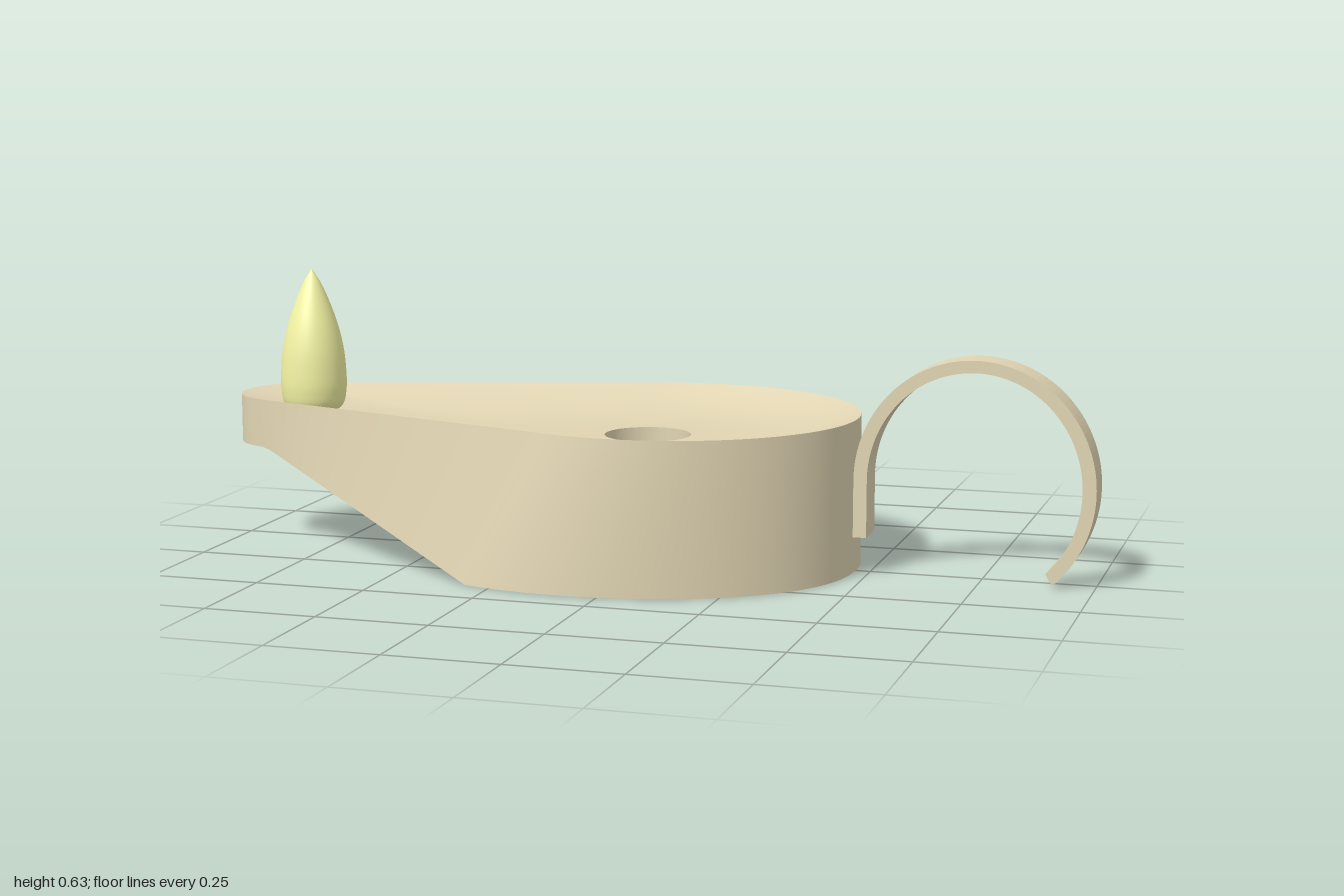
import * as THREE from 'three';

const TOP = 0.34, SPOUT_BASE = 0.23, DISH = 0.058;
const HOLE_X = -0.015, HOLE_R = 0.097, HOLE_DEPTH = 0.2;
const clay = new THREE.MeshStandardMaterial({ color: 0xe0d4b2, side: THREE.DoubleSide });
const flameMaterial = new THREE.MeshStandardMaterial({ color: 0xf4f4a4 });

function add(parent, name, geometry, material = clay) {
  const mesh = new THREE.Mesh(geometry, material);
  mesh.name = name;
  parent.add(mesh);
  return mesh;
}

// Half outline [x, z] from the spout tip to the back: round tip, straight flank, rounded bowl
function halfOutline(cx, a, b, shoulderX, fullness) {
  const points = [];
  const tipSteps = 14, flankSteps = 24, bowlSteps = 48;
  for (let i = 0; i <= tipSteps; i++) {
    const t = (i / tipSteps) * 1.26;
    points.push([-0.86 - 0.14 * Math.cos(t), 0.14 * Math.sin(t)]);
  }
  const start = Math.acos((shoulderX - cx) / a);
  const bowl = [];
  for (let i = 0; i <= bowlSteps; i++) {
    const t = start * (1 - i / bowlSteps);
    bowl.push([cx + a * Math.cos(t), b * Math.sin(t) ** fullness]);
  }
  const [x0, z0] = points[tipSteps], [x1, z1] = bowl[0];
  for (let i = 1; i < flankSteps; i++) {
    const t = i / flankSteps;
    points.push([x0 + (x1 - x0) * t, z0 + (z1 - z0) * t]);
  }
  return [...points, ...bowl];
}

// Full closed loop from a half outline
function mirrorLoop(half) {
  const other = half.slice(1, -1).reverse().map(([x, z]) => [x, -z]);
  return [...half, ...other];
}

// Underside rises from the foot to the spout
function underside(x) {
  return THREE.MathUtils.clamp(((-0.31 - x) / 0.58) * SPOUT_BASE, 0, SPOUT_BASE);
}

function makeGeometry(positions, index) {
  const geometry = new THREE.BufferGeometry();
  geometry.setAttribute('position', new THREE.Float32BufferAttribute(positions, 3));
  geometry.setIndex(index);
  return geometry;
}

// Smooth skin through closed loops of [x, y, z]
function loft(loops) {
  const index = [], n = loops[0].length;
  for (let r = 0; r < loops.length - 1; r++) {
    for (let i = 0; i < n; i++) {
      const j = (i + 1) % n;
      const a = r * n + i, b = r * n + j;
      index.push(a, a + n, b + n, a, b + n, b);
    }
  }
  const geometry = makeGeometry(loops.flat(2), index);
  geometry.computeVertexNormals();
  return geometry;
}

function undersideGeometry(half) {
  const positions = [], index = [];
  half.forEach(([x, z], i) => {
    const y = underside(x);
    positions.push(x, y, z, x, y, -z);
    if (i < half.length - 1) {
      const a = 2 * i;
      index.push(a, a + 1, a + 2, a + 2, a + 1, a + 3);
    }
  });
  const geometry = makeGeometry(positions, index).toNonIndexed();
  geometry.computeVertexNormals();
  return geometry;
}

export function createModel() {
  const model = new THREE.Group();
  model.name = 'oilLamp';

  // Lamp body
  const body = new THREE.Group();
  body.name = 'body';
  model.add(body);
  const lowerHalf = halfOutline(-0.08, 0.547, 0.423, -0.31, 0.91);
  const upper = mirrorLoop(halfOutline(0.03, 0.437, 0.405, -0.1, 1));
  const lower = mirrorLoop(lowerHalf);
  add(body, 'bodyWall', loft([
    upper.map(([x, z]) => [x, TOP, z]),
    lower.map(([x, z]) => [x, underside(x), z]),
  ]));
  add(body, 'bodyUnderside', undersideGeometry(lowerHalf));

  // Dished top sinking from the rim to the filling hole
  const holeRing = upper.map(([x, z]) => {
    const angle = Math.atan2(z, x - HOLE_X);
    return [HOLE_X + HOLE_R * Math.cos(angle), HOLE_R * Math.sin(angle)];
  });
  const dishLoops = [];
  const rings = 16;
  for (let r = 0; r <= rings; r++) {
    const s = r / rings;
    const y = TOP - DISH * (1 - s ** 3);
    dishLoops.push(upper.map(([x, z], i) => {
      const [hx, hz] = holeRing[i];
      return [hx + (x - hx) * s, y, hz + (z - hz) * s];
    }));
  }
  add(body, 'dishedTop', loft(dishLoops));

  // Filling hole
  const holeTop = TOP - DISH, holeBottom = holeTop - HOLE_DEPTH;
  add(body, 'fillingHoleWall', loft([holeBottom, holeTop].map((y) => holeRing.map(([x, z]) => [x, y, z]))));
  const holeFloor = new THREE.CircleGeometry(HOLE_R, 48).rotateX(-Math.PI / 2);
  add(body, 'fillingHoleFloor', holeFloor).position.set(HOLE_X, holeBottom, 0);

  // Flame: pointed lathe standing in the spout
  const flameCurve = new THREE.SplineCurve([
    [0, -0.05], [0.045, -0.045], [0.068, -0.025], [0.075, 0.005], [0.076, 0.04],
    [0.071, 0.1], [0.058, 0.16], [0.037, 0.22], [0.018, 0.262], [0, 0.29],
  ].map(([r, y]) => new THREE.Vector2(r, y)));
  const flame = add(model, 'flame', new THREE.LatheGeometry(flameCurve.getPoints(36), 40), flameMaterial);
  flame.position.set(-0.83, TOP, 0);

  // Handle: flat strip with a straight leg and an open hook
  const cx = 0.735, cy = 0.212, outerR = 0.265, innerR = 0.235;
  const strip = new THREE.Shape();
  strip.moveTo(cx - outerR, 0.085);
  strip.lineTo(cx - outerR, cy);
  strip.absellipse(cx, cy, outerR, 0.275, Math.PI, -0.853, true);
  strip.absellipse(cx, cy, innerR, 0.248, -0.823, Math.PI, false);
  strip.lineTo(cx - innerR, 0.085);
  strip.closePath();
  const width = 0.083;
  const handle = new THREE.ExtrudeGeometry(strip, { depth: width, bevelEnabled: false, curveSegments: 48 });
  add(model, 'handle', handle).position.z = 0.006 - width / 2;

  return model;
}
